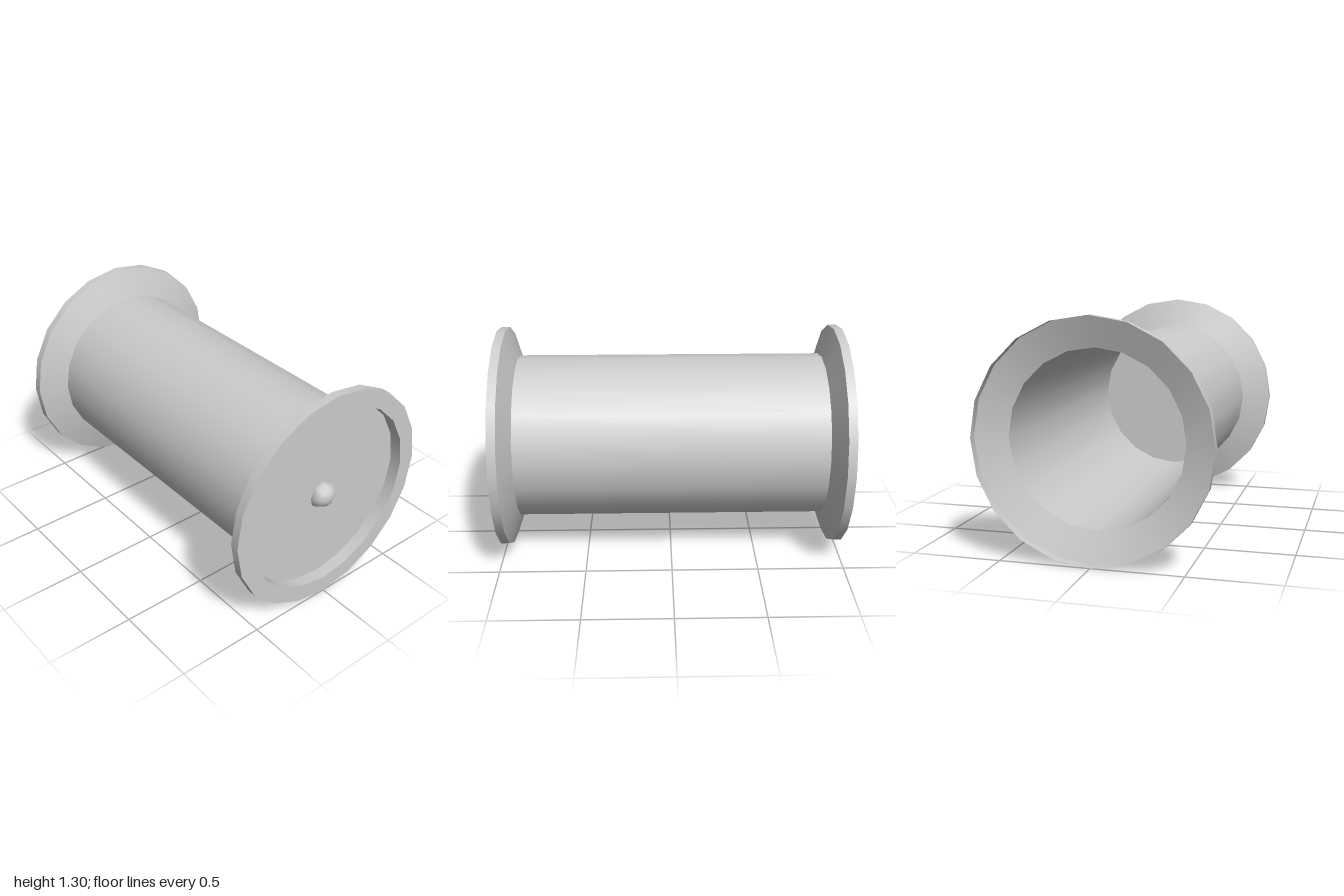
import * as THREE from 'three';

const SIDES = 20;
const AXIS_Y = 0.655;

export function createModel() {
  const model = new THREE.Group();
  const spool = new THREE.Group();
  spool.name = 'spool';
  spool.position.y = AXIS_Y;
  model.add(spool);

  const material = new THREE.MeshStandardMaterial({ color: 0xcccccc, side: THREE.DoubleSide });

  function add(name, geometry, parent = spool) {
    const mesh = new THREE.Mesh(geometry, material);
    mesh.name = name;
    parent.add(mesh);
    return mesh;
  }

  // Open band around the z axis, from z0 (radius r0) to z1 (radius r1)
  function band(z0, r0, z1, r1) {
    const g = new THREE.CylinderGeometry(r1, r0, z1 - z0, SIDES, 1, true);
    return g.rotateX(Math.PI / 2).translate(0, 0, (z0 + z1) / 2);
  }

  // Hollow barrel
  add('barrel', band(-0.89, 0.48, 0.89, 0.48));

  // Flared flange with a short straight rim at each end
  for (const end of ['front', 'back']) {
    const flange = new THREE.Group();
    flange.name = end + 'Flange';
    if (end === 'back') flange.rotation.y = Math.PI;
    add(end + 'Flare', band(0.89, 0.48, 0.95, 0.65), flange);
    add(end + 'Rim', band(0.95, 0.65, 1, 0.65), flange);
    spool.add(flange);
  }

  // Front face: flat ring, shallow recess and end plate
  add('frontRing', new THREE.RingGeometry(0.55, 0.65, SIDES).translate(0, 0, 1));
  add('recessWall', band(0.93, 0.55, 1, 0.55));
  add('endPlate', new THREE.CircleGeometry(0.55, SIDES).translate(0, 0, 0.93));

  // Faceted round knob, every second meridian turned a little
  const knob = new THREE.SphereGeometry(0.078, 8, 4, 0, Math.PI * 2, 0, Math.PI / 2);
  knob.rotateX(Math.PI / 2);
  const p = knob.attributes.position;
  for (let i = 0; i < p.count; i++) {
    const r = Math.hypot(p.getX(i), p.getY(i));
    const a = Math.atan2(p.getY(i), p.getX(i));
    const odd = Math.abs(Math.round(a / (Math.PI / 4))) % 2 === 1;
    const turned = odd ? a - Math.PI / 20 : a;
    const radius = odd ? r * 1.05 : r;
    p.setXYZ(i, radius * Math.cos(turned), radius * Math.sin(turned), p.getZ(i) * 0.88);
  }
  add('knob', knob).position.z = 0.93;

  return model;
}
